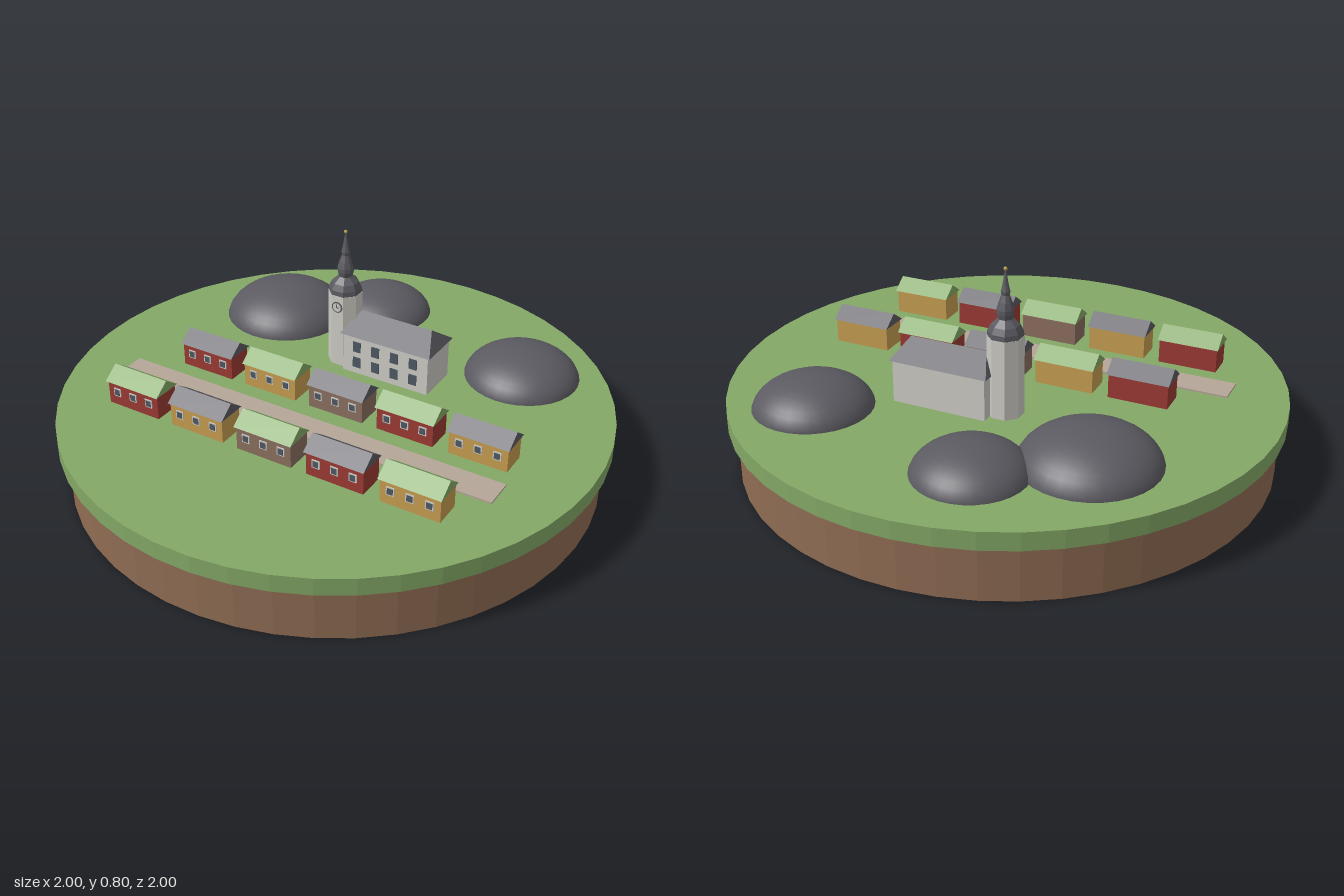
import * as THREE from 'three';

const mat = (name, color, extra = {}) => {
  const m = new THREE.MeshStandardMaterial({ color, ...extra });
  m.name = name;
  return m;
};

export function createModel() {
  const flat = { flatShading: true };
  const grass = mat('grass green', 0x83a866, flat);
  const earth = mat('earth brown', 0x8f6c53, flat);
  const paving = mat('street paving', 0xb5a697);
  const slate = mat('slate grey', 0x5b5a61);
  const red = mat('barn red', 0x9a3a33);
  const ochre = mat('ochre', 0xc49c50);
  const brown = mat('house brown', 0x8a6e5e);
  const plaster = mat('pale plaster', 0xcccac3);
  const gold = mat('gold', 0xb8984a);
  const glass = mat('window glass', 0x4d5862);

  const model = new THREE.Group();
  model.name = 'village';
  const GROUND = 0.265, TURN = -Math.PI / 9;

  const add = (parent, name, geometry, material, x = 0, y = 0, z = 0) => {
    const mesh = new THREE.Mesh(geometry, material);
    mesh.name = name;
    mesh.position.set(x, y, z);
    parent.add(mesh);
    return mesh;
  };
  const group = (parent, name, x, y, z, turn = 0) => {
    const g = new THREE.Group();
    g.name = name;
    g.position.set(x, y, z);
    g.rotation.y = turn;
    parent.add(g);
    return g;
  };

  // Roof with a ridge along x; the ends slope inwards when ridge < length
  const roofGeometry = (length, depth, height, ridge) => {
    const a = length / 2, b = depth / 2, r = ridge / 2;
    const A = [-a, 0, b], B = [a, 0, b], C = [a, 0, -b], D = [-a, 0, -b];
    const L = [-r, height, 0], R = [r, height, 0];
    const faces = [A, B, R, A, R, L, C, D, L, C, L, R, B, C, R, D, A, L, A, D, C, A, C, B];
    const geometry = new THREE.BufferGeometry();
    geometry.setAttribute('position', new THREE.Float32BufferAttribute(faces.flat(), 3));
    geometry.computeVertexNormals();
    return geometry;
  };

  // Round base
  add(model, 'earthBase', new THREE.CylinderGeometry(0.97, 0.97, 0.2, 48), earth, 0, 0.1, 0);
  add(model, 'grassDisc', new THREE.CylinderGeometry(1, 1, 0.065, 48), grass, 0, 0.2325, 0);

  // Rounded hills
  const hillGeometry = new THREE.SphereGeometry(1, 32, 10, 0, Math.PI * 2, 0, Math.PI / 2);
  for (const [x, z, r] of [[-0.315, -0.575, 0.242], [0.055, -0.665, 0.2], [0.65, -0.27, 0.215]]) {
    add(model, 'hill', hillGeometry, slate, x, 0.25, z).scale.set(r, r * 0.58, r);
  }

  // Street with a row of houses on each side
  const street = group(model, 'street', -0.083, GROUND, 0.222, TURN);
  add(street, 'pavement', new THREE.BoxGeometry(1.52, 0.008, 0.112), paving, 0, 0.003, 0);

  const wallGeometry = new THREE.BoxGeometry(0.218, 0.09, 0.1);
  const houseRoof = roofGeometry(0.228, 0.118, 0.043, 0.228);
  const frameGeometry = new THREE.BoxGeometry(0.03, 0.032, 0.004);
  const paneGeometry = new THREE.BoxGeometry(0.021, 0.023, 0.004);
  const walls = [red, ochre, brown];
  for (const side of [-1, 1]) {
    for (let i = 0; i < 5; i++) {
      const x = (i - 2) * 0.2775 + (side < 0 ? 0.067 : 0);
      const house = group(street, 'house', x, 0, side * 0.175);
      add(house, 'houseWalls', wallGeometry, walls[i % 3], 0, 0.045, 0);
      add(house, 'houseRoof', houseRoof, (i + (side > 0 ? 0 : 1)) % 2 ? slate : grass, 0, 0.09, 0);
      for (const wx of [-0.07, 0, 0.07]) {
        add(house, 'windowFrame', frameGeometry, plaster, wx, 0.053, 0.051);
        add(house, 'windowPane', paneGeometry, glass, wx, 0.053, 0.0525);
      }
    }
  }

  // Church hall with hipped roof and two rows of windows
  const hall = group(model, 'churchHall', 0.185, GROUND, -0.198, TURN);
  add(hall, 'hallWalls', new THREE.BoxGeometry(0.352, 0.157, 0.166), plaster, 0, 0.0785, 0);
  add(hall, 'hallRoof', roofGeometry(0.372, 0.184, 0.065, 0.29), slate, 0, 0.156, 0);
  const hallWindow = new THREE.BoxGeometry(0.032, 0.042, 0.004);
  for (const y of [0.047, 0.112]) {
    for (let i = 0; i < 4; i++) add(hall, 'hallWindow', hallWindow, glass, (i - 1.5) * 0.078, y, 0.084);
  }

  // Eight-sided tower
  const tower = group(model, 'churchTower', -0.017, GROUND, -0.263, TURN);
  const shaft = new THREE.CylinderGeometry(0.064, 0.064, 0.29, 8).toNonIndexed();
  shaft.computeVertexNormals();
  add(tower, 'towerShaft', shaft, plaster, 0, 0.145, 0).rotation.y = Math.PI / 8;

  // Clock on the front face of the tower
  const disc = (r) => new THREE.CylinderGeometry(r, r, 0.004, 20).rotateX(Math.PI / 2);
  add(tower, 'clockRim', disc(0.022), slate, 0, 0.245, 0.059);
  add(tower, 'clockFace', disc(0.017), plaster, 0, 0.245, 0.061);
  add(tower, 'minuteHand', new THREE.BoxGeometry(0.003, 0.014, 0.002), slate, 0, 0.251, 0.063);
  add(tower, 'hourHand', new THREE.BoxGeometry(0.01, 0.003, 0.002), slate, 0.004, 0.245, 0.063);

  // Curved dome, lantern bulb and spire
  const profile = [[0, 0.288], [0.063, 0.288], [0.061, 0.308], [0.05, 0.33], [0.032, 0.346], [0.026, 0.352],
    [0.03, 0.37], [0.03, 0.385], [0.023, 0.41], [0.014, 0.435], [0.016, 0.447], [0.011, 0.468], [0.002, 0.522]];
  const spire = new THREE.LatheGeometry(profile.map(([r, y]) => new THREE.Vector2(r, y)), 8).toNonIndexed();
  spire.computeVertexNormals();
  add(tower, 'spire', spire, slate).rotation.y = Math.PI / 8;
  add(tower, 'finial', new THREE.SphereGeometry(0.007, 12, 8), gold, 0, 0.526, 0);

  return model;
}
